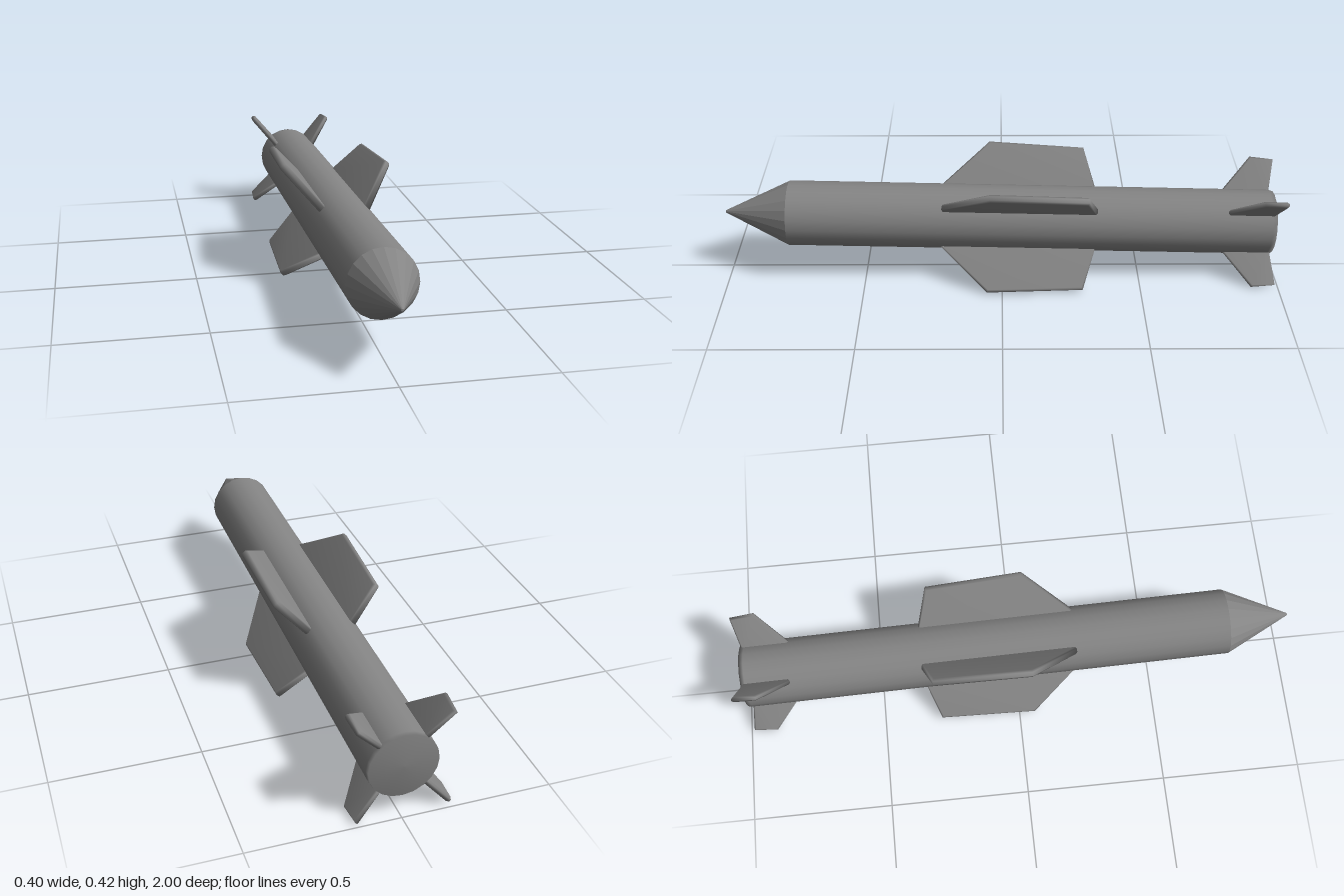
import * as THREE from 'three';
import { mergeVertices } from 'three/addons/utils/BufferGeometryUtils.js';

const grey = new THREE.MeshStandardMaterial({ color: 0x848484 });
const greyFlat = new THREE.MeshStandardMaterial({ color: 0x848484, flatShading: true });

// Bevelled fin with softly blended normals; outline points are [radius, z]
function finGeometry(outline, thickness, bevel) {
  const shape = new THREE.Shape(outline.map(([r, z]) => new THREE.Vector2(r, z)));
  const depth = thickness - 2 * bevel;
  const geometry = new THREE.ExtrudeGeometry(shape, {
    depth, bevelEnabled: true, bevelSize: bevel, bevelOffset: -bevel,
    bevelThickness: bevel, bevelSegments: 1,
  }).translate(0, 0, -depth / 2).rotateX(Math.PI / 2);
  geometry.deleteAttribute('normal');
  geometry.deleteAttribute('uv');
  const smooth = mergeVertices(geometry, 1e-5);
  smooth.computeVertexNormals();
  return smooth;
}

export function createModel() {
  const model = new THREE.Group();
  model.name = 'missile';

  function add(name, geometry, material) {
    const mesh = new THREE.Mesh(geometry, material);
    mesh.name = name;
    model.add(mesh);
    return mesh;
  }

  // Long tube with a softly shaded rear cap
  const profile = [[0, -0.985], [0.115, -0.981], [0.117, -0.965], [0.117, 0.2], [0.117, 0.76], [0.117, 0.77]]
    .map(([r, y]) => new THREE.Vector2(r, y));
  add('body', new THREE.LatheGeometry(profile, 20).rotateX(Math.PI / 2), grey);

  // Faceted nose with a tiny blunt tip
  add('noseCone', new THREE.CylinderGeometry(0.004, 0.117, 0.23, 20)
    .rotateX(Math.PI / 2).translate(0, 0, 0.885), greyFlat);

  // Four wings and four tail fins in an X, leaning slightly towards the vertical
  const wing = finGeometry([[0.09, 0.245], [0.278, 0.05], [0.262, -0.295], [0.09, -0.345]], 0.028, 0.007);
  const tail = finGeometry([[0.09, -0.785], [0.24, -0.908], [0.232, -0.994], [0.09, -0.972]], 0.02, 0.006);
  const names = ['UpperLeft', 'UpperRight', 'LowerRight', 'LowerLeft'];
  names.forEach((corner, i) => {
    const angle = Math.PI / 4 + i * Math.PI / 2;
    const lean = i % 2 ? -1 : 1;
    add('wing' + corner, wing, grey).rotation.z = angle + lean * 0.025;
    add('tailFin' + corner, tail, grey).rotation.z = angle + lean * 0.06;
  });

  // Slight nose-up attitude
  model.rotation.set(-0.029, 0.006, -0.02);
  model.position.set(-0.001, 0.211, 0);

  const root = new THREE.Group();
  root.name = 'missileRoot';
  root.add(model);
  return root;
}
